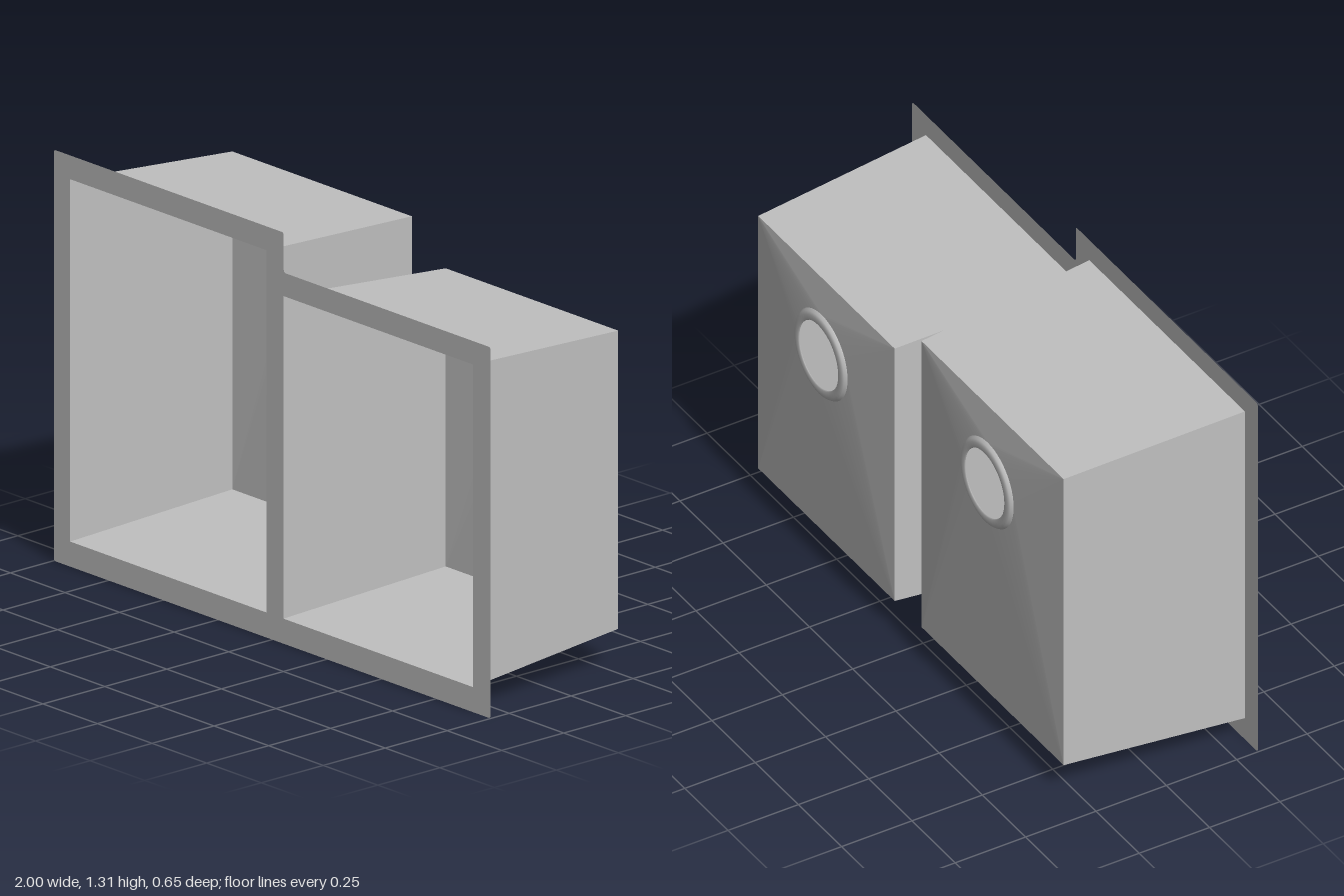
import * as THREE from 'three';

const RIM_Z = 0.325, BACK_Z = -0.295, DRAIN_Z = -0.312, DRAIN_R = 0.15;
const QUARTER = 12; // segments per quarter of a drain

const basins = [
  { name: 'rightBasin', x0: -0.925, x1: -0.025, y0: 0.08, y1: 1.237, dx: -0.475, dy: 0.932 },
  { name: 'leftBasin', x0: 0.052, x1: 0.92, y0: 0.08, y1: 1.11, dx: 0.486, dy: 0.805 },
];

// Corners of a basin rectangle, anticlockwise from lower -x, shrunk by an inset
const corners = (b, inset, z) => [
  [b.x0 + inset, b.y0 + inset, z], [b.x1 - inset, b.y0 + inset, z],
  [b.x1 - inset, b.y1 - inset, z], [b.x0 + inset, b.y1 - inset, z],
];

function facetedGeometry(triangles) {
  const geometry = new THREE.BufferGeometry();
  geometry.setAttribute('position', new THREE.Float32BufferAttribute(triangles.flat(2), 3));
  geometry.computeVertexNormals();
  return geometry;
}

// Four tapering walls
function wallsGeometry(b) {
  const front = corners(b, 0, RIM_Z), back = corners(b, 0.039, BACK_Z), tris = [];
  for (let i = 0; i < 4; i++) {
    const j = (i + 1) % 4;
    tris.push([front[i], back[i], back[j]], [front[i], back[j], front[j]]);
  }
  return facetedGeometry(tris);
}

// Bottom sloping from the rectangle to the round drain
function bottomGeometry(b) {
  const rect = corners(b, 0.039, BACK_Z), tris = [];
  const ring = (k) => {
    const a = Math.PI + (k / QUARTER) * Math.PI / 2;
    return [b.dx + DRAIN_R * Math.cos(a), b.dy + DRAIN_R * Math.sin(a), DRAIN_Z];
  };
  for (let i = 0; i < 4; i++) {
    for (let k = i * QUARTER; k < (i + 1) * QUARTER; k++) tris.push([rect[i], ring(k), ring(k + 1)]);
    tris.push([rect[i], ring((i + 1) * QUARTER), rect[(i + 1) % 4]]);
  }
  return facetedGeometry(tris);
}

// Raised ring around the drain opening
function drainGeometry(b) {
  const profile = [[0.114, 0.321], [0.117, 0.325], [0.134, 0.325], [0.144, 0.321], [DRAIN_R, -DRAIN_Z]];
  const geometry = new THREE.LatheGeometry(profile.map(([r, h]) => new THREE.Vector2(r, h)), QUARTER * 4);
  geometry.rotateX(-Math.PI / 2);
  geometry.translate(b.dx, b.dy, 0);
  return geometry;
}

// Flat stepped flange with slightly rounded corners and two openings
function flangeGeometry() {
  const outline = [[-1, 0], [1, 0], [1, 1.185], [0.053, 1.185], [0.053, 1.313], [-1, 1.313]]
    .map(([x, y]) => new THREE.Vector2(x, y));
  const shape = new THREE.Shape();
  outline.forEach((p, i) => {
    const prev = outline[(i + 5) % 6], next = outline[(i + 1) % 6];
    const toward = (q) => q.clone().sub(p).setLength(0.01).add(p);
    const a = toward(prev), c = toward(next);
    if (i === 0) shape.moveTo(a.x, a.y); else shape.lineTo(a.x, a.y);
    shape.quadraticCurveTo(p.x, p.y, c.x, c.y);
  });
  shape.closePath();
  for (const b of basins) {
    shape.holes.push(new THREE.Path(corners(b, 0, 0).map(([x, y]) => new THREE.Vector2(x, y))));
  }
  return new THREE.ShapeGeometry(shape, 4).translate(0, 0, RIM_Z);
}

export function createModel() {
  const model = new THREE.Group();
  model.name = 'doubleSink';
  const steel = new THREE.MeshStandardMaterial({ color: 0xc0c0c0, side: THREE.DoubleSide });
  steel.name = 'steel grey';
  const add = (parent, name, geometry) => {
    const mesh = new THREE.Mesh(geometry, steel);
    mesh.name = name;
    parent.add(mesh);
  };

  add(model, 'flange', flangeGeometry());
  for (const b of basins) {
    const basin = new THREE.Group();
    basin.name = b.name;
    add(basin, 'walls', wallsGeometry(b));
    add(basin, 'bottom', bottomGeometry(b));
    add(basin, 'drainRing', drainGeometry(b));
    model.add(basin);
  }
  return model;
}
